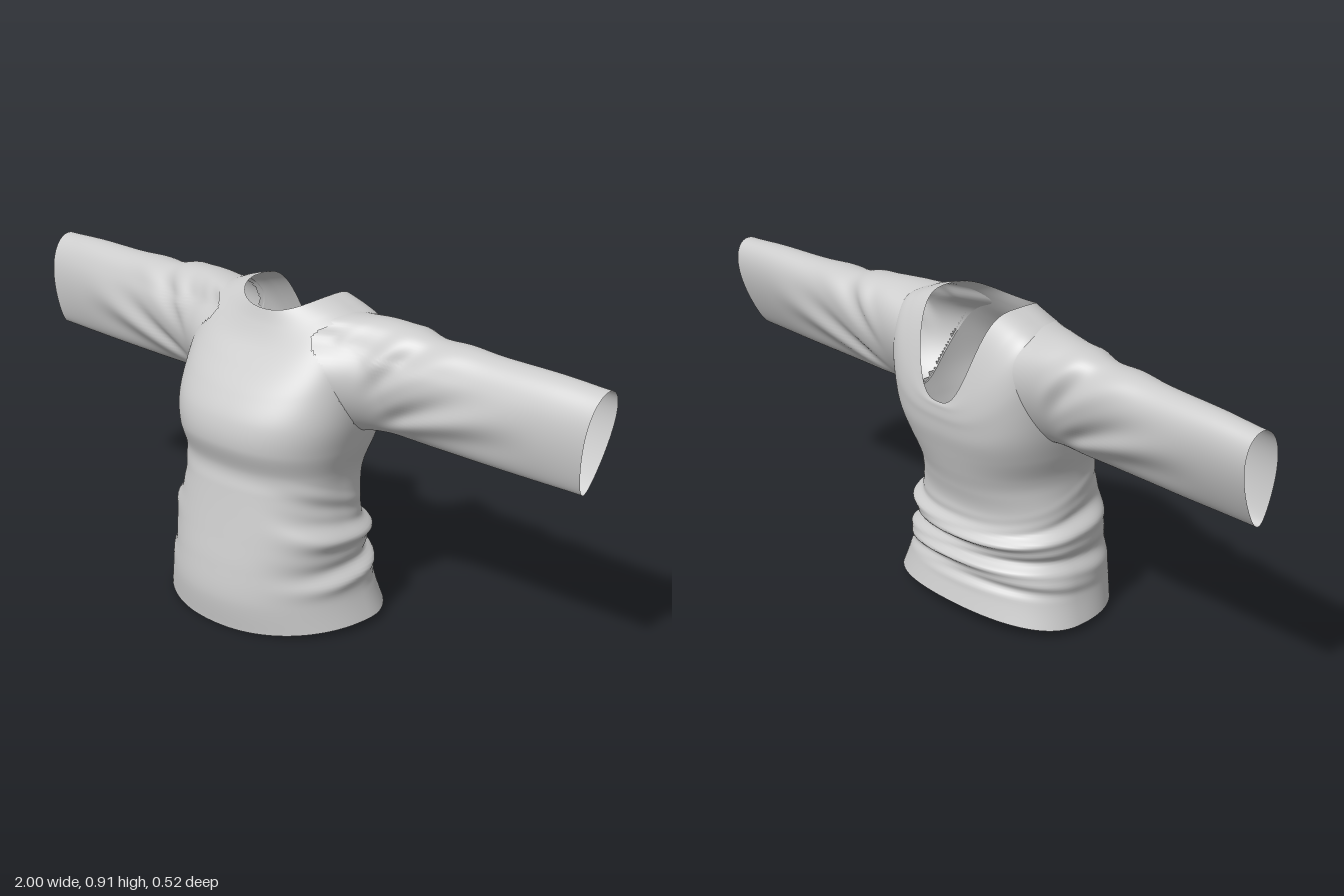
import * as THREE from 'three';

const TAU = Math.PI * 2;
const material = new THREE.MeshStandardMaterial({ color: 0xcccccc, side: THREE.DoubleSide });

// Smooth interpolation through a list of cross-section rows, t in 0..1
function sampleRows(rows, t) {
  const f = t * (rows.length - 1);
  const i = Math.min(Math.floor(f), rows.length - 2);
  const k = f - i;
  const at = (n) => rows[THREE.MathUtils.clamp(n, 0, rows.length - 1)];
  const [a, b, c, d] = [at(i - 1), at(i), at(i + 1), at(i + 2)];
  return b.map((v, n) => v + 0.5 * k * (c[n] - a[n]
    + k * (2 * a[n] - 5 * v + 4 * c[n] - d[n] + k * (3 * (v - c[n]) + d[n] - a[n]))));
}

// Open tube from rings of points; keep() can leave faces out
function loft(rows, cols, point, keep = () => true) {
  const pos = [], index = [];
  for (let i = 0; i <= rows; i++) {
    for (let j = 0; j < cols; j++) pos.push(...point(i / rows, (j / cols) * TAU));
  }
  const centre = (ids) => [0, 1, 2].map((n) => ids.reduce((s, v) => s + pos[v * 3 + n], 0) / ids.length);
  for (let i = 0; i < rows; i++) {
    for (let j = 0; j < cols; j++) {
      const k = (j + 1) % cols;
      const a = i * cols + j, b = i * cols + k, c = b + cols, d = a + cols;
      if (keep(centre([a, b, c, d]))) index.push(a, b, d, b, c, d);
    }
  }
  const geometry = new THREE.BufferGeometry();
  geometry.setAttribute('position', new THREE.Float32BufferAttribute(pos, 3));
  geometry.setIndex(index);
  geometry.computeVertexNormals();
  return geometry;
}

const smooth = THREE.MathUtils.smoothstep;

// Body rings: half width, z of side, front, back; y of front, side, back
const bodyRows = [
  [0.333, -0.04, 0.25, -0.24, 0, 0.02, 0.045],
  [0.308, -0.03, 0.26, -0.222, 0.09, 0.095, 0.11],
  [0.293, -0.02, 0.25, -0.208, 0.18, 0.18, 0.18],
  [0.283, -0.01, 0.235, -0.205, 0.26, 0.26, 0.25],
  [0.268, 0, 0.222, -0.19, 0.33, 0.33, 0.32],
  [0.257, 0, 0.21, -0.203, 0.4, 0.395, 0.385],
  [0.258, 0, 0.202, -0.22, 0.455, 0.45, 0.44],
  [0.275, -0.01, 0.224, -0.238, 0.53, 0.52, 0.5],
  [0.288, -0.02, 0.215, -0.252, 0.6, 0.6, 0.55],
  [0.29, -0.05, 0.178, -0.258, 0.665, 0.7, 0.59],
  [0.282, -0.07, 0.13, -0.261, 0.725, 0.79, 0.61],
  [0.255, -0.08, 0.085, -0.261, 0.78, 0.86, 0.63],
  [0.2, -0.083, 0.057, -0.261, 0.83, 0.888, 0.642],
  [0.135, -0.085, 0.042, -0.258, 0.87, 0.908, 0.65],
];

function bodyPoint(t, angle) {
  const [w, zc, zf, zb, yF, yS, yB] = sampleRows(bodyRows, t);
  const c = Math.cos(angle), s = Math.sin(angle);
  // The shoulder blades are squarer than the rest
  const power = 2.15 + 0.15 * smooth(t, 0, 0.3) + (c < 0 ? 0.6 * smooth(t, 0.4, 0.65) : 0);
  const round = (v) => Math.sign(v) * Math.abs(v) ** (2 / power);
  let x = w * round(s);
  let z = zc + (c > 0 ? zf - zc : zc - zb) * round(c);
  const y = yS + (c > 0 ? (yF - yS) * c * c : (yB - yS) * (-c) ** 2.5);
  // Waist folds fan out from the small of the back toward the front
  const fan = Math.atan2(y - 0.23, z + 0.5);
  const reach = smooth(y, 0.09, 0.16) * (1 - smooth(y - 0.4 * z, 0.31, 0.4)) * (1 - smooth(c, 0.2, 0.95));
  const fold = 0.012 * reach * (Math.sin(fan * 24) + 0.35 * Math.sin(fan * 55 + x * 14));
  x += fold * s;
  z += fold * c;
  return [x, y, z];
}

// Sleeve sections from armhole to cuff: bottom y, top y, front z, back z
const sleeveRows = [
  [0.578, 0.88, 0.03, -0.19],
  [0.572, 0.882, 0.005, -0.188],
  [0.57, 0.866, -0.01, -0.182],
  [0.57, 0.858, -0.023, -0.178],
  [0.57, 0.855, -0.035, -0.175],
  [0.571, 0.852, -0.045, -0.172],
  [0.572, 0.845, -0.054, -0.17],
];
const TAPER = 0.35;

// Section centre, half sizes and lean, flared where the sleeve meets the body
function sleeveFrame(t) {
  const [y0, y1, zf, zb] = sampleRows(sleeveRows, t);
  const flare = Math.max(0, 1 - t / 0.17) ** 2;
  const low = y0 - 0.015 * flare, front = zf + 0.03 * flare, back = zb - 0.008 * flare;
  const half = (front - back) / 2;
  return { yc: (low + y1) / 2, zc: (front + back) / 2, h: (y1 - low) / 2, half, lean: -TAPER * half * t };
}

// Egg-shaped section, narrower at the bottom
function sleeveSection(t, angle) {
  const { yc, zc, h, half, lean } = sleeveFrame(t);
  const c = Math.cos(angle), s = Math.sin(angle);
  return [yc + h * c, zc + lean * c + half * (1 + TAPER * c) * s];
}

// True outside the armhole outline
function outsideArmhole([x, y, z]) {
  const { yc, zc, h, half } = sleeveFrame(0);
  const v = (y - yc) / h;
  const u = (z - zc) / (half * (1 + TAPER * v));
  return Math.abs(x) < 0.14 || Math.hypot(u, v) > 0.955;
}

// Sleeve whose root ring is projected onto the body
function sleeveGeometry(side, solidBody) {
  const ray = new THREE.Raycaster();
  const roots = new Map();
  const rootX = (angle) => {
    if (!roots.has(angle)) {
      const [y, z] = sleeveSection(0, angle);
      ray.set(new THREE.Vector3(0.6, y, z), new THREE.Vector3(-1, 0, 0));
      const hit = ray.intersectObject(solidBody)[0];
      roots.set(angle, (hit && hit.point.x > 0.1 ? hit.point.x : 0.2) - 0.003);
    }
    return roots.get(angle);
  };
  return loft(90, 80, (t, a) => {
    const angle = a * side;
    const c = Math.cos(angle), s = Math.sin(angle);
    let [y, z] = sleeveSection(t, angle);
    const x = THREE.MathUtils.lerp(rootX(angle), 1 - 0.015 * (1 - c), t);
    // Drag folds radiate from the underarm
    const fan = Math.atan2(y - 0.5, x - 0.16);
    const fold = 0.007 * smooth(t, 0.06, 0.25) * (1 - smooth(t, 0.4, 0.85))
      * (Math.sin(fan * 21) + 0.4 * Math.sin(fan * 37 + 1 + x * 9));
    z += fold * s;
    y += fold * 0.3 * Math.max(c, 0);
    return [side * x, y, z];
  });
}

export function createModel() {
  const group = new THREE.Group();
  group.name = 'top';

  const solidBody = new THREE.Mesh(loft(130, 144, bodyPoint), material);
  solidBody.updateMatrixWorld();

  // Body with open hem, scooped back neckline and armholes
  const body = new THREE.Mesh(loft(150, 176, bodyPoint, outsideArmhole), material);
  body.name = 'body';
  group.add(body);

  for (const [name, side] of [['leftSleeve', 1], ['rightSleeve', -1]]) {
    const sleeve = new THREE.Mesh(sleeveGeometry(side, solidBody), material);
    sleeve.name = name;
    group.add(sleeve);
  }
  return group;
}
